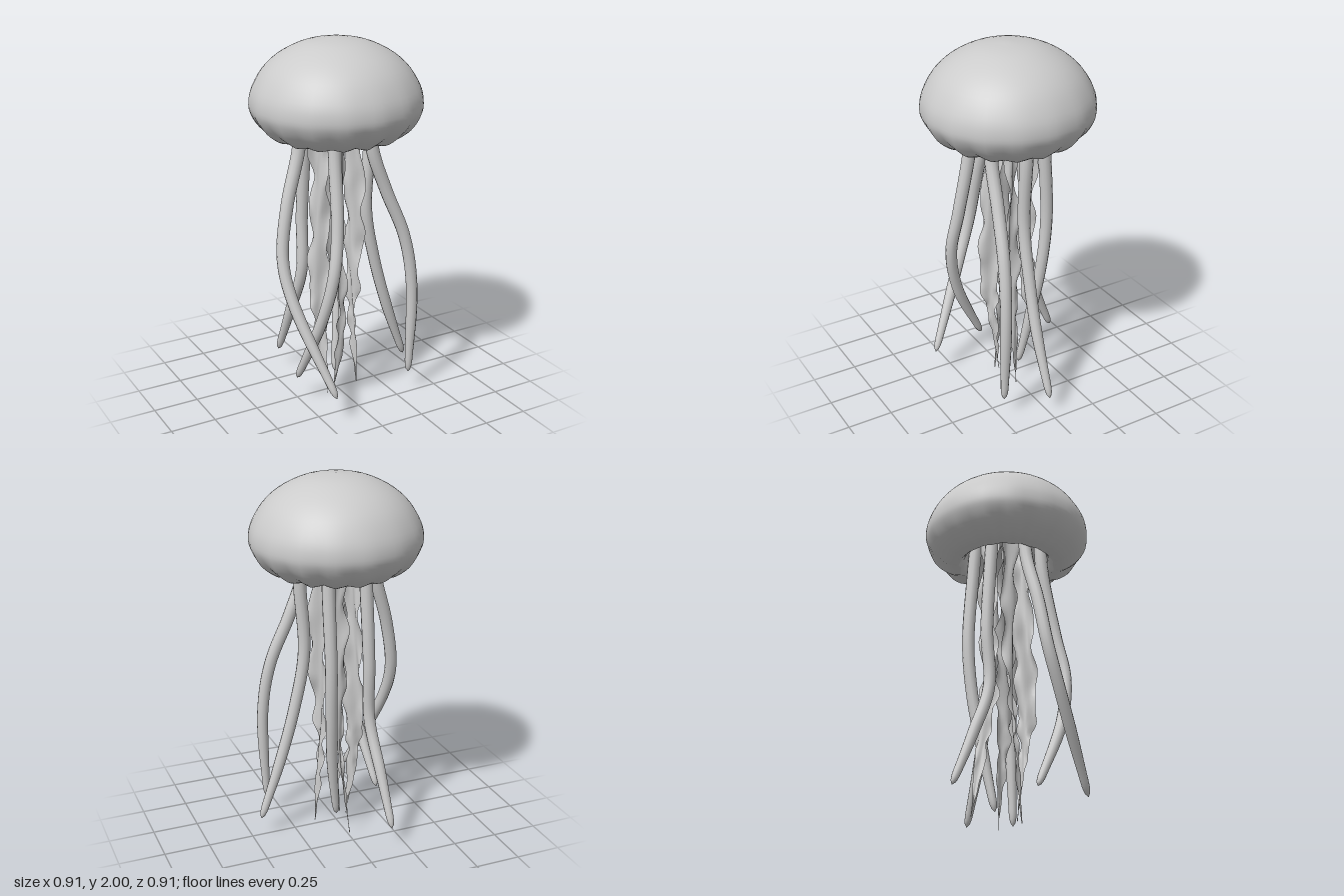
import * as THREE from 'three';
import { mergeVertices } from 'three/addons/utils/BufferGeometryUtils.js';
import { ParametricGeometry } from 'three/addons/geometries/ParametricGeometry.js';

const material = new THREE.MeshStandardMaterial({ color: 0xcccccc, roughness: 0.8 });
const thinMaterial = new THREE.MeshStandardMaterial({ color: 0xcccccc, roughness: 0.8, side: THREE.DoubleSide });
const { lerp, smoothstep } = THREE.MathUtils;

function smooth(geometry) {
  geometry.deleteAttribute('uv');
  geometry.deleteAttribute('normal');
  const merged = mergeVertices(geometry, 1e-4);
  merged.computeVertexNormals();
  return merged;
}

// Bell: lathe from the inner ceiling, round the rim and up to the crown, with 16 soft lobes
function makeBell() {
  const inside = new THREE.SplineCurve([
    [0, 1.66], [0.12, 1.64], [0.21, 1.57], [0.24, 1.505], [0.27, 1.472],
  ].map(p => new THREE.Vector2(...p))).getPoints(12);
  const outside = new THREE.SplineCurve([
    [0.27, 1.472], [0.33, 1.487], [0.4, 1.54], [0.442, 1.605], [0.455, 1.665], [0.438, 1.745],
    [0.377, 1.845], [0.282, 1.925], [0.15, 1.982], [0, 2],
  ].map(p => new THREE.Vector2(...p))).getPoints(32);
  outside[outside.length - 1].x = 0;
  const geometry = new THREE.LatheGeometry([...inside, ...outside.slice(1)], 64);
  const pos = geometry.attributes.position;
  for (let i = 0; i < pos.count; i++) {
    const x = pos.getX(i), y = pos.getY(i), z = pos.getZ(i);
    const angle = Math.atan2(x, z);
    const groove = (0.5 - 0.5 * Math.cos(16 * angle)) * (0.8 + 0.2 * Math.sin(3 * angle + 1));
    const low = 1 - smoothstep(y, 1.47, 1.66);
    const fade = 1 - smoothstep(y, 1.62, 1.9);
    const k = 1 - groove * (0.01 * fade + 0.035 * low);
    const lift = groove * 0.015 * low * smoothstep(Math.hypot(x, z), 0.15, 0.27);
    pos.setXYZ(i, x * k, y + lift, z * k);
  }
  const bell = new THREE.Mesh(smooth(geometry), material);
  bell.name = 'bell';
  return bell;
}

// Tentacle: a tube that tapers to a rounded tip
function makeTentacle(points) {
  const curve = new THREE.CatmullRomCurve3(points.map(p => new THREE.Vector3(...p)));
  const geometry = new THREE.TubeGeometry(curve, 80, 1, 12);
  const pos = geometry.attributes.position, uv = geometry.attributes.uv;
  const p = new THREE.Vector3(), c = new THREE.Vector3();
  for (let i = 0; i < pos.count; i++) {
    const t = uv.getX(i);
    curve.getPointAt(t, c);
    const round = Math.sqrt(Math.max(0, 1 - Math.max(0, (t - 0.95) / 0.05) ** 2));
    const radius = lerp(0.036, 0.029, t) * (1 - 0.3 * smoothstep(t, 0.75, 1)) * round;
    p.fromBufferAttribute(pos, i).sub(c).multiplyScalar(radius).add(c);
    pos.setXYZ(i, p.x, p.y, p.z);
  }
  const mesh = new THREE.Mesh(smooth(geometry), material);
  mesh.name = 'tentacle';
  return mesh;
}

// Oral arm: a ruffled ribbon, narrowing to a point
function makeOralArm(points, angle, phase) {
  const curve = new THREE.CatmullRomCurve3(points.map(p => new THREE.Vector3(...p)));
  const c = new THREE.Vector3();
  const geometry = new ParametricGeometry((u, t, target) => {
    curve.getPoint(t, c);
    const s = u * 2 - 1;
    const twist = angle + 0.6 * Math.sin(t * 5 + phase) * t;
    const width = lerp(0.058, 0.052, t) * (1 - 0.45 * smoothstep(t, 0.45, 0.68)) * (1 - 0.93 * smoothstep(t, 0.74, 1))
      * (1 + 0.12 * Math.sin(t * 44 + phase + s * 2) + 0.08 * Math.sin(t * 71 + phase * 2 - s));
    const ruffle = (0.018 * s * s * Math.sin(t * 40 + phase + s * 1.6) + 0.014 * Math.sin(s * 3 + t * 9 + phase))
      * (1 - 0.9 * smoothstep(t, 0.3, 1));
    const across = s * width;
    target.set(
      c.x + across * Math.cos(twist) + ruffle * Math.sin(twist),
      c.y,
      c.z - across * Math.sin(twist) + ruffle * Math.cos(twist));
  }, 8, 80);
  const mesh = new THREE.Mesh(geometry, thinMaterial);
  mesh.name = 'oralArm';
  return mesh;
}

export function createModel() {
  const model = new THREE.Group();
  model.name = 'jellyfish';
  model.add(makeBell());

  // Six tentacles, rooted in a ring under the bell
  const tentacles = new THREE.Group();
  tentacles.name = 'tentacles';
  [
    [[-0.2, 1.64, 0], [-0.225, 1.43, 0], [-0.305, 1.15, 0.02], [-0.35, 0.87, 0.05], [-0.335, 0.66, 0.12], [-0.2, 0.15, 0.365]],
    [[-0.1, 1.64, 0.16], [-0.105, 1.43, 0.17], [-0.125, 1.05, 0.235], [-0.165, 0.8, 0.265], [-0.21, 0.53, 0.21], [-0.265, 0.14, 0.03]],
    [[-0.1, 1.64, -0.14], [-0.105, 1.43, -0.155], [-0.115, 1.0, -0.18], [-0.125, 0.68, -0.17], [-0.15, 0.4, -0.27], [-0.17, 0.11, -0.39]],
    [[0.1, 1.64, 0.16], [0.12, 1.43, 0.17], [0.2, 1.2, 0.18], [0.305, 0.93, 0.205], [0.35, 0.65, 0.22], [0.338, 0.11, 0.225]],
    [[0.2, 1.64, 0], [0.2, 1.43, 0.01], [0.18, 1.05, 0.01], [0.235, 0.75, 0.01], [0.32, 0.45, 0.01], [0.447, 0.1, 0]],
    [[0.1, 1.64, -0.14], [0.105, 1.43, -0.155], [0.1, 1.0, -0.18], [0.09, 0.7, -0.155], [0.065, 0.4, -0.105], [0.02, 0.07, -0.055]],
  ].forEach(points => tentacles.add(makeTentacle(points)));
  model.add(tentacles);

  // Four oral arms round the centre
  const oralArms = new THREE.Group();
  oralArms.name = 'oralArms';
  [
    [[-0.03, 1.64, 0.085], [-0.03, 1.1, 0.09], [-0.03, 0.6, 0.1], [-0.02, 0.3, 0.08], [-0.04, 0.02, 0.04]],
    [[0.085, 1.64, 0.03], [0.09, 1.1, 0.03], [0.08, 0.6, 0.03], [0.1, 0.3, 0.02], [0.12, 0.01, 0.02]],
    [[0.03, 1.64, -0.085], [0.03, 1.1, -0.09], [0.03, 0.65, -0.1], [0.02, 0.35, -0.14], [0, 0.02, -0.2]],
    [[-0.085, 1.64, -0.03], [-0.09, 1.1, -0.03], [-0.1, 0.6, -0.02], [-0.095, 0.3, 0.01], [-0.08, 0, 0.045]],
  ].forEach((points, i) => oralArms.add(makeOralArm(points, 0.5 + i * Math.PI / 2, i * 1.7)));
  model.add(oralArms);
  return model;
}
